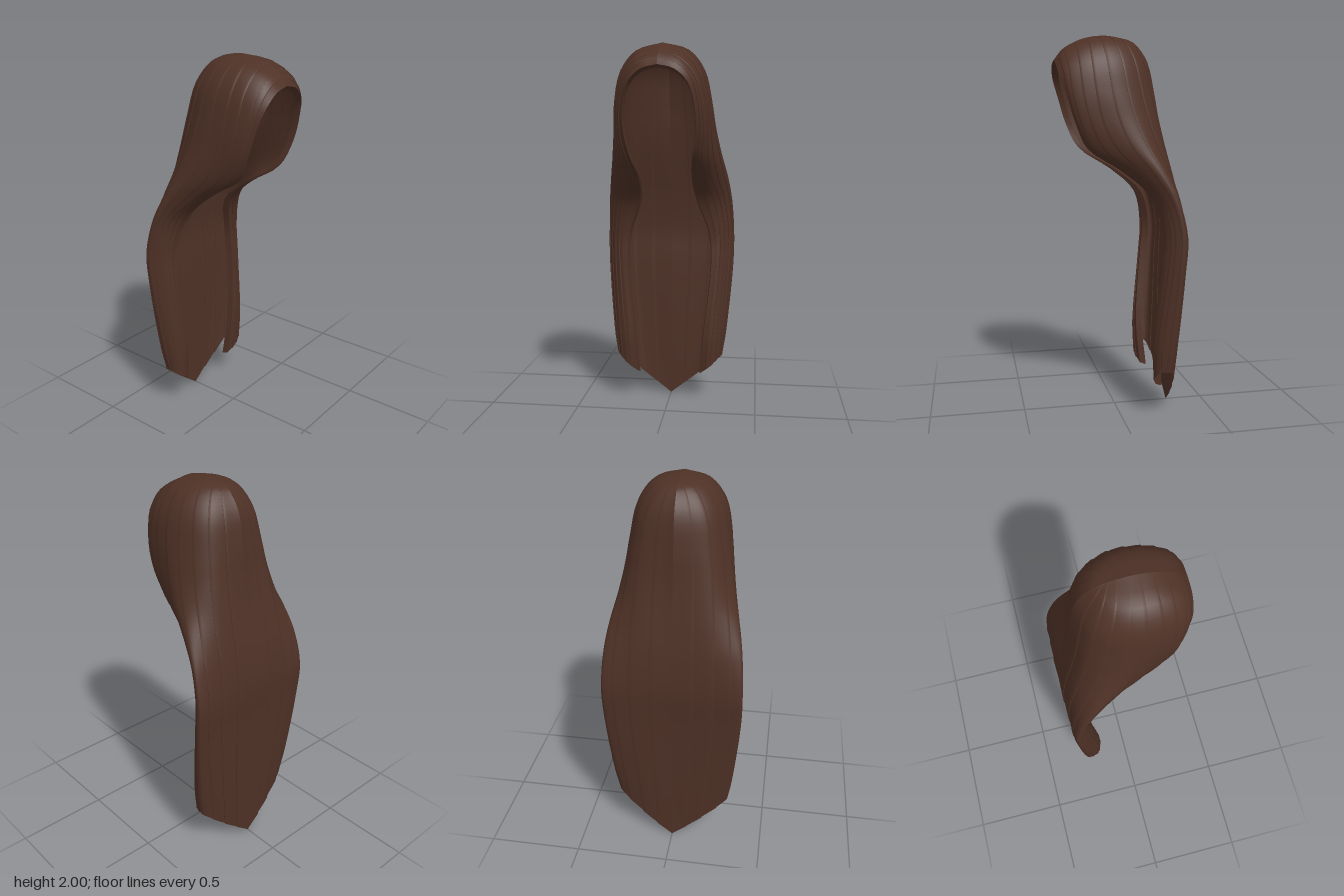
import * as THREE from 'three';

// Guide strands for the model's left half, from the parting down to the tip.
const lipEdge = [
  [0, 1.87, .32], [.08, 1.85, .32], [.145, 1.79, .31], [.178, 1.68, .275], [.183, 1.55, .235], [.16, 1.42, .17],
  [.145, 1.31, 0], [.16, 1.18, -.15], [.23, .98, -.21], [.24, .8, -.2], [.2, .4, -.17], [.18, .16, -.19]];
const faceRim = [
  [0, 1.93, .27], [.105, 1.9, .275], [.175, 1.82, .265], [.207, 1.69, .25], [.217, 1.55, .21], [.203, 1.42, .145],
  [.205, 1.3, -.03], [.25, 1.17, -.17], [.285, .98, -.215], [.285, .8, -.205], [.25, .4, -.165], [.238, .21, -.17]];
const temple = [
  [0, 1.985, .16], [.125, 1.95, .16], [.205, 1.85, .155], [.24, 1.7, .14], [.25, 1.56, .11], [.257, 1.43, .045],
  [.275, 1.3, -.09], [.31, 1.17, -.2], [.334, .98, -.247], [.332, .8, -.237], [.302, .4, -.192], [.288, .26, -.19]];
const backCorner = [
  [0, 2, .05], [.13, 1.96, .03], [.205, 1.86, .005], [.242, 1.7, -.02], [.265, 1.56, -.055], [.292, 1.43, -.11],
  [.325, 1.3, -.185], [.347, 1.17, -.25], [.36, .98, -.297], [.358, .8, -.288], [.322, .4, -.257], [.3, .26, -.24]];
const backSide = [
  [0, 1.99, -.03], [.08, 1.96, -.07], [.14, 1.86, -.12], [.17, 1.7, -.155], [.187, 1.56, -.185], [.2, 1.43, -.218],
  [.21, 1.3, -.255], [.215, 1.17, -.287], [.22, .98, -.312], [.22, .8, -.306], [.19, .4, -.292], [.165, .135, -.28]];
const backCentre = [
  [0, 1.98, -.07], [0, 1.95, -.12], [0, 1.86, -.18], [0, 1.7, -.21], [0, 1.56, -.225], [0, 1.43, -.245],
  [0, 1.3, -.27], [0, 1.17, -.295], [0, .98, -.318], [0, .8, -.308], [0, .4, -.3], [0, 0, -.298]];

const toCurve = pts => new THREE.CatmullRomCurve3(pts.map(p => new THREE.Vector3(...p)));
const guides = [lipEdge, faceRim, temple, backCorner, backSide, backCentre].map(toCurve);
const ROWS = 44, LOCKS = 10;

// Positions across a lock; the doubled start makes a closed step at its front edge.
const ACROSS = [0, 0, .2, .4, .6, .8, 1];

// Curve running from the face opening to the back centre at one strand position.
const ribAt = v => new THREE.CatmullRomCurve3(guides.map(g => g.getPoint(v)));

// Turns a grid of points into a smooth sheet facing outward; side mirrors it.
function sheet(grid, side) {
  const pos = [], index = [], w = grid[0].length;
  grid.forEach(row => row.forEach(p => pos.push(p.x * side, p.y, p.z)));
  for (let r = 0; r < grid.length - 1; r++) {
    for (let c = 0; c < w - 1; c++) {
      const a = r * w + c, b = a + 1, d = a + w, e = d + 1;
      if (side > 0) index.push(a, d, b, b, d, e);
      else index.push(a, b, d, b, e, d);
    }
  }
  const geo = new THREE.BufferGeometry();
  geo.setAttribute('position', new THREE.Float32BufferAttribute(pos, 3));
  geo.setIndex(index);
  geo.computeVertexNormals();
  return geo;
}

// One lock: a strip of the hair surface whose front edge stands proud of its neighbour.
function lockGrid(i, ribs, nextRibs) {
  return ribs.map((rib, r) => ACROSS.map((f, c) => {
    const u = (i + f) / LOCKS;
    const p = rib.getPoint(u);
    const du = rib.getPoint(Math.min(1, u + .01)).sub(rib.getPoint(Math.max(0, u - .01)));
    const normal = nextRibs[r].getPoint(u).sub(p).cross(du).normalize();
    const lift = i === 0 || c === 0 ? 0 : .005 * (1 - f) * Math.min(1, r / ROWS * 6);
    p.addScaledVector(normal, lift);
    p.x = Math.max(0, p.x);
    return p;
  }));
}

// Narrow turned-in band that thickens the face opening.
function lipGrid(ribs) {
  return ribs.map(rib => {
    const p = rib.getPoint(0);
    return [new THREE.Vector3(p.x * .97, p.y - .012, p.z - .035), p];
  });
}

export function createModel() {
  const model = new THREE.Group();
  model.name = 'longHair';
  const hair = new THREE.MeshStandardMaterial({ color: 0x4e3126 });
  hair.name = 'darkBrownHair';
  hair.side = THREE.DoubleSide;

  const ribs = [], nextRibs = [];
  for (let r = 0; r <= ROWS; r++) {
    ribs.push(ribAt(r / ROWS));
    nextRibs.push(ribAt(Math.min(1, r / ROWS + .004)));
  }
  // The last row borrows its direction from the row above
  nextRibs[ROWS] = new THREE.CatmullRomCurve3(guides.map(g =>
    g.getPoint(1).multiplyScalar(2).sub(g.getPoint(.996))));

  for (const [side, label] of [[1, 'left'], [-1, 'right']]) {
    const half = new THREE.Group();
    half.name = label + 'Hair';
    for (let i = 0; i < LOCKS; i++) {
      const lock = new THREE.Mesh(sheet(lockGrid(i, ribs, nextRibs), side), hair);
      lock.name = label + 'Lock' + (i + 1);
      half.add(lock);
    }
    const lip = new THREE.Mesh(sheet(lipGrid(ribs), side), hair);
    lip.name = label + 'FaceEdge';
    half.add(lip);
    model.add(half);
  }
  return model;
}
